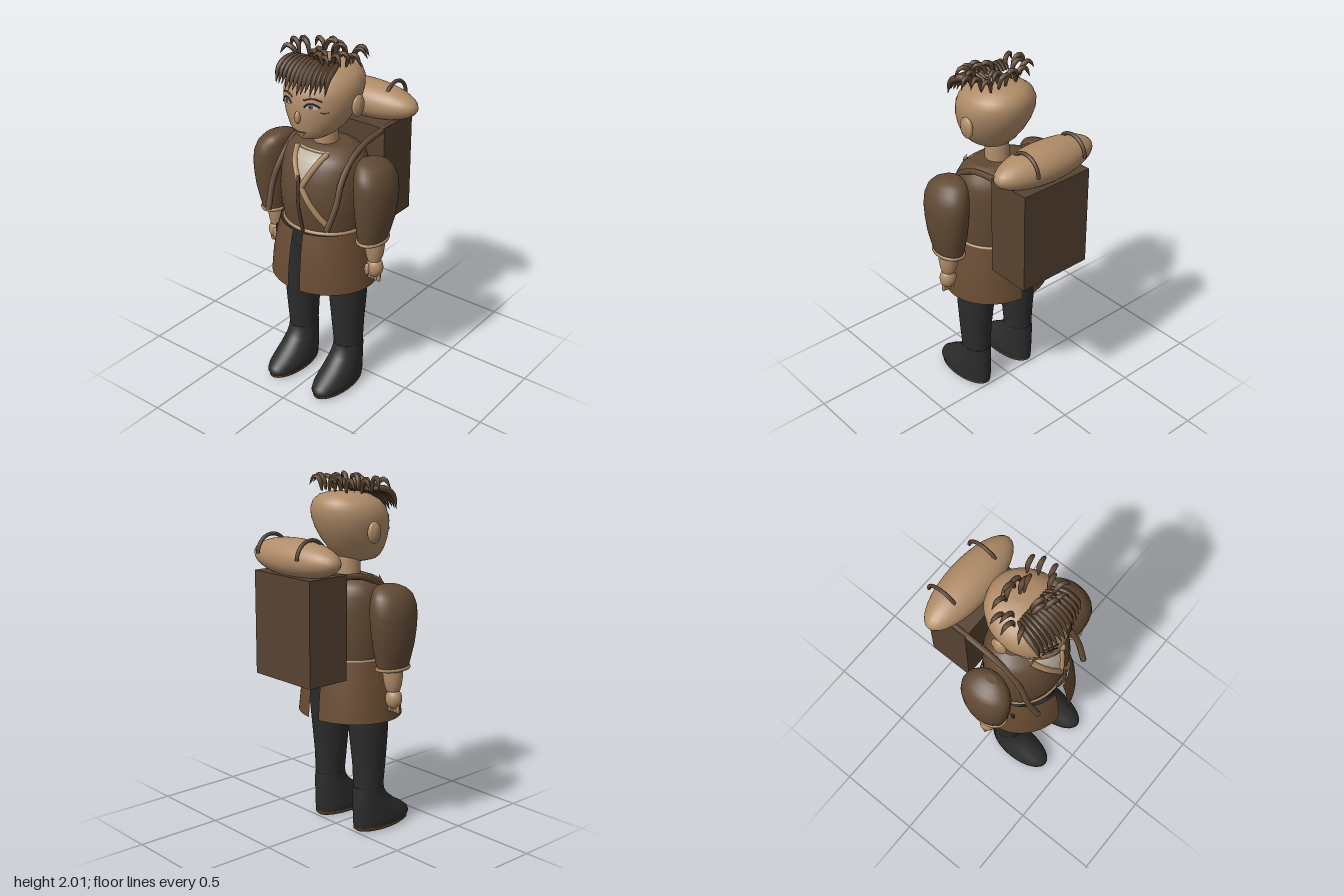
import * as THREE from 'three';

const mat = (name, color, side = THREE.FrontSide) => {
  const m = new THREE.MeshStandardMaterial({ color, side });
  m.name = name;
  return m;
};
const V = (x, y, z) => new THREE.Vector3(x, y, z);

// Skin of elliptical cross-sections, bottom to top: [y, centreX, radiusX, frontZ, backZ]
function loft(sections, { n = 40, t0 = 0, t1 = Math.PI * 2, caps = true } = {}) {
  const full = t1 - t0 > 6.28, cols = full ? n : n + 1;
  const flat = ([y, x, , f, b]) => [y, x, 0, (f + b) / 2, (f + b) / 2];
  const first = sections[0], last = sections[sections.length - 1];
  const rings = caps ? [flat(first), first, ...sections, last, flat(last)] : sections;
  const pos = [], idx = [];
  rings.forEach(([y, cx, rx, f, b], i) => {
    for (let j = 0; j < cols; j++) {
      const t = t0 + (t1 - t0) * j / n;
      pos.push(cx + rx * Math.sin(t), y, (f + b) / 2 + (f - b) / 2 * Math.cos(t));
      if (i === 0 || (!full && j === n)) continue;
      const a = (i - 1) * cols + j, c = (i - 1) * cols + (j + 1) % cols;
      idx.push(a, c, a + cols, c, c + cols, a + cols);
    }
  });
  const g = new THREE.BufferGeometry();
  g.setAttribute('position', new THREE.Float32BufferAttribute(pos, 3));
  g.setIndex(idx);
  g.computeVertexNormals();
  return g;
}

// Front surface depth of a lofted body at (x, y)
function frontZ(sections, x, y) {
  let i = 0;
  while (i < sections.length - 2 && sections[i + 1][0] < y) i++;
  const a = sections[i], b = sections[i + 1];
  const k = THREE.MathUtils.clamp((y - a[0]) / (b[0] - a[0]), 0, 1);
  const [, cx, rx, f, bk] = a.map((v, q) => v + (b[q] - v) * k);
  return (f + bk) / 2 + (f - bk) / 2 * Math.sqrt(Math.max(0, 1 - ((x - cx) / rx) ** 2));
}

// Lays a flat geometry onto the front of a body
function drape(g, sections, off) {
  const p = g.attributes.position;
  for (let i = 0; i < p.count; i++) p.setZ(i, frontZ(sections, p.getX(i), p.getY(i)) + off);
  g.computeVertexNormals();
  return g;
}

const tube = (pts, r, seg = 24) => new THREE.TubeGeometry(new THREE.CatmullRomCurve3(pts), seg, r, 8);

// Lock of hair: a tube swelling in the middle and closing to a point
function lock(pts, r) {
  const curve = new THREE.CatmullRomCurve3(pts), seg = 12;
  const g = new THREE.TubeGeometry(curve, seg, r, 7);
  const p = g.attributes.position, v = V(0, 0, 0);
  for (let i = 0; i < p.count; i++) {
    const u = Math.floor(i / 8) / seg, c = curve.getPointAt(u);
    v.fromBufferAttribute(p, i).sub(c).multiplyScalar(Math.sin(Math.PI * (0.12 + 0.88 * u)) + 0.01).add(c);
    p.setXYZ(i, v.x, v.y, v.z);
  }
  g.computeVertexNormals();
  return g;
}

const TORSO = [
  [1.0, 0, .235, .3, -.11], [1.1, 0, .25, .32, -.118], [1.2, 0, .254, .328, -.122], [1.3, 0, .25, .315, -.122],
  [1.37, 0, .243, .292, -.112], [1.42, 0, .228, .262, -.092], [1.45, 0, .2, .225, -.06], [1.47, 0, .15, .17, -.01],
];
const HEAD = [
  [1.53, 0, .04, .25, .11], [1.54, 0, .075, .28, .07], [1.56, 0, .105, .3, .035], [1.6, 0, .142, .314, -.01],
  [1.66, 0, .178, .322, -.055], [1.72, 0, .2, .325, -.09], [1.78, 0, .208, .318, -.114], [1.83, 0, .203, .298, -.12],
  [1.87, 0, .178, .262, -.112], [1.9, 0, .135, .205, -.085], [1.914, 0, .09, .15, -.045], [1.92, 0, .04, .09, .01],
];

export function createModel() {
  const root = new THREE.Group();
  const skin = mat('skin', 0xb08c68), trim = mat('tan trim', 0xa88761), coat = mat('coat brown', 0x614934);
  const skirtMat = mat('skirt brown', 0x694c33, THREE.DoubleSide), pack = mat('pack brown', 0x574231);
  const black = mat('black cloth', 0x2c2c2c), hair = mat('hair brown', 0x5a4432);
  const shirt = mat('pale shirt', 0xb8ae9b, THREE.DoubleSide), iris = mat('grey iris', 0x5f5a54);
  const add = (name, g, m, x = 0, y = 0, z = 0) => {
    const mesh = new THREE.Mesh(g, m);
    mesh.name = name;
    mesh.position.set(x, y, z);
    root.add(mesh);
    return mesh;
  };
  const ball = (name, m, x, y, z, rx, ry, rz) => add(name, new THREE.SphereGeometry(1, 32, 20), m, x, y, z).scale.set(rx, ry, rz);

  // Body and neck
  add('torso', loft(TORSO, { n: 56 }), coat);
  add('neck', loft([[1.44, 0, .068, .16, .02], [1.54, 0, .066, .16, .025], [1.57, 0, .06, .15, .03]]), skin);
  add('hips', loft([[.88, 0, .2, .28, -.08], [1.0, 0, .22, .29, -.1]]), black);
  const waist = [];
  for (let i = 0; i < 40; i++) {
    const t = i * Math.PI / 20;
    waist.push(V(.238 * Math.sin(t), 1.012, .095 + .21 * Math.cos(t)));
  }
  add('waistTrim', new THREE.TubeGeometry(new THREE.CatmullRomCurve3(waist, true), 80, .011, 8, true), trim);

  // Shirt front, crossed lapels and cord
  const vee = new THREE.PlaneGeometry(2, 1, 8, 10), vp = vee.attributes.position;
  for (let i = 0; i < vp.count; i++) {
    const k = vp.getY(i) + .5;
    vp.setXY(i, vp.getX(i) * .1 * k, 1.27 + .185 * k);
  }
  add('shirtFront', drape(vee, TORSO, .004), shirt);
  const onTorso = (x0, y0, x1, y1) => Array.from({ length: 9 }, (_, i) => {
    const x = x0 + (x1 - x0) * i / 8, y = y0 + (y1 - y0) * i / 8;
    return V(x, y, frontZ(TORSO, x, y) + .003);
  });
  add('longLapel', tube(onTorso(-.1, 1.45, .15, 1.065), .017), trim);
  add('shortLapel', tube(onTorso(.1, 1.45, .005, 1.26), .016), trim);
  add('cord', tube([V(.015, 1.36, .345), V(.015, 1.2, .352), V(.015, 1.01, .315)], .009), pack);

  for (const s of [-1, 1]) {
    // Split coat skirt
    const gap = .13, t0 = s > 0 ? gap : Math.PI + gap;
    add('skirtPanel', loft([
      [.675, 0, .31, .385, -.17], [.8, 0, .295, .378, -.16], [.92, 0, .272, .362, -.146], [1.015, 0, .25, .34, -.132],
    ], { t0, t1: t0 + Math.PI - 2 * gap, caps: false }), skirtMat);

    // Legs, boots and soles
    add('leg', loft([
      [.24, s * .163, .078, .19, .012], [.4, s * .162, .088, .205, .005], [.55, s * .16, .098, .218, -.012],
      [.7, s * .158, .105, .228, -.03], [.92, s * .13, .108, .23, -.04],
    ]), black);
    add('boot', loft([
      [.022, s * .163, .092, .395, .005], [.045, s * .163, .098, .408, .003], [.07, s * .163, .097, .395, .002],
      [.1, s * .163, .094, .355, .002], [.14, s * .163, .089, .292, .002], [.19, s * .163, .083, .23, .003],
      [.23, s * .163, .081, .202, .005], [.262, s * .163, .08, .194, .008],
    ]), black);
    add('sole', loft([[0, s * .163, .08, .375, .02], [.012, s * .163, .092, .398, .005], [.024, s * .163, .093, .398, .004]]), coat);

    // Sleeve, cuff, forearm and hand
    add('sleeve', loft([
      [.985, s * .333, .067, .215, .015], [1.04, s * .337, .08, .225, 0], [1.12, s * .342, .094, .24, -.02],
      [1.2, s * .344, .101, .25, -.035], [1.28, s * .344, .103, .256, -.043], [1.34, s * .339, .1, .253, -.04],
      [1.39, s * .329, .088, .238, -.025], [1.42, s * .316, .073, .21, 0], [1.437, s * .302, .05, .175, .035], [1.445, s * .295, .022, .14, .07],
    ]), coat);
    const cuff = add('cuff', new THREE.TorusGeometry(.068, .011, 8, 40), trim, s * .333, .988, .115);
    cuff.rotation.x = Math.PI / 2;
    cuff.scale.y = 1.42;
    add('forearm', loft([
      [.86, s * .343, .036, .15, .072], [.89, s * .343, .046, .158, .06], [.94, s * .342, .053, .165, .052], [1.0, s * .338, .054, .168, .05],
    ]), skin);
    ball('hand', skin, s * .347, .815, .112, .048, .058, .045);
    ball('thumb', skin, s * .325, .81, .152, .016, .036, .015);
    for (let f = 0; f < 4; f++) {
      add('finger', new THREE.CapsuleGeometry(.011, .035, 4, 8), skin, s * (.317 + f * .02), .762, .115);
    }

    // Ears
    ball('ear', skin, s * .208, 1.712, .088, .022, .06, .046);
    ball('earHollow', trim, s * .222, 1.712, .09, .011, .042, .028);

    // Eyes, brows and cheek lines
    const disc = (x, y, w, h, off) => {
      const g = new THREE.CircleGeometry(1, 28);
      g.scale(w, h, 1);
      g.translate(x, y, 0);
      return drape(g, HEAD, off);
    };
    const faceLine = (pts, r) => tube(pts.map(([x, y]) => V(s * x, y, frontZ(HEAD, x, y) + .004)), r);
    add('eyeWhite', disc(s * .078, 1.742, .032, .014, .004), shirt);
    add('iris', disc(s * .076, 1.743, .013, .013, .006), iris);
    add('pupil', disc(s * .076, 1.743, .006, .006, .008), black);
    add('lash', faceLine([[.042, 1.738], [.06, 1.755], [.08, 1.759], [.1, 1.753], [.118, 1.74]], .004), black);
    add('brow', faceLine([[.035, 1.772], [.08, 1.786], [.125, 1.772]], .004), hair);
    add('cheekLine', faceLine([[.12, 1.715], [.135, 1.708], [.15, 1.714]], .002), hair);

    // Shoulder straps and bedroll straps
    add('shoulderStrap', tube([
      V(s * .205, 1.5, -.28), V(s * .207, 1.495, -.1), V(s * .207, 1.475, .03), V(s * .205, 1.42, .14),
      V(s * .21, 1.32, .235), V(s * .218, 1.22, .285), V(s * .2, 1.085, .345),
    ], .017, 40), coat);
    const band = add('rollStrap', new THREE.TorusGeometry(.097, .0105, 8, 28, Math.PI), pack, s * .16, 1.61, -.316);
    band.rotation.y = Math.PI / 2;
  }
  add('hipClasp', new THREE.BoxGeometry(.015, .05, .02), black, -.25, .9, .212);

  // Head, nose and mouth
  add('head', loft(HEAD, { n: 56 }), skin);
  ball('nose', skin, 0, 1.672, .322, .017, .034, .02);
  const lipLine = [-.04, -.02, 0, .02, .04].map(x => V(x, 1.586 + Math.abs(x) * .1, frontZ(HEAD, x, 1.586) + .002));
  add('mouth', tube(lipLine, .003), hair);
  ball('lowerLip', trim, 0, 1.575, .302, .026, .007, .007);

  // Backpack and bedroll
  add('backpack', new THREE.BoxGeometry(.45, .575, .26), pack, 0, 1.2225, -.255);
  ball('bedroll', skin, 0, 1.592, -.28, .326, .105, .125);

  // Fringe
  for (let i = 0; i < 13; i++) {
    const x = -.15 + i * .025, tip = 1.79 + Math.abs(x) * .15 + (i % 3) * .008;
    add('fringeLock', lock([
      V(x * .75, 1.925, .13), V(x * .95, 1.935, .2), V(x * 1.05, 1.895, .275), V(x * 1.06, tip, .335 - x * x * 1.5),
    ], .019), hair);
  }
  // Tufts on the crown: [x, z, lean direction]
  const tufts = [
    [-.09, .01, -1], [-.04, .012, 1], [-.01, 0, -1], [.035, 0, -1], [.03, .04, 1], [.05, .05, 1], [-.16, .055, -1],
    [-.13, .09, -1], [-.165, .125, -1], [-.15, .18, -1], [.14, -.005, 1], [.165, .045, 1], [.175, .11, 1],
    [.13, .137, 1], [.13, .18, 1], [.08, .21, 1], [.035, .2, 1], [0, .15, 1], [-.02, .17, 1], [.04, .165, 1],
  ];
  tufts.forEach(([x, z, d], i) => {
    const w = z < .14 ? -.014 : .03, up = 1.985 + (i % 3) * .006;
    add('tuft', lock([
      V(x - d * .025, 1.915, z - w * .4), V(x - d * .01, up - .015, z), V(x + d * .025, up, z + w * .4), V(x + d * .058, 1.925 + (i % 4) * .008, z + w),
    ], .014), hair);
  });
  return root;
}
